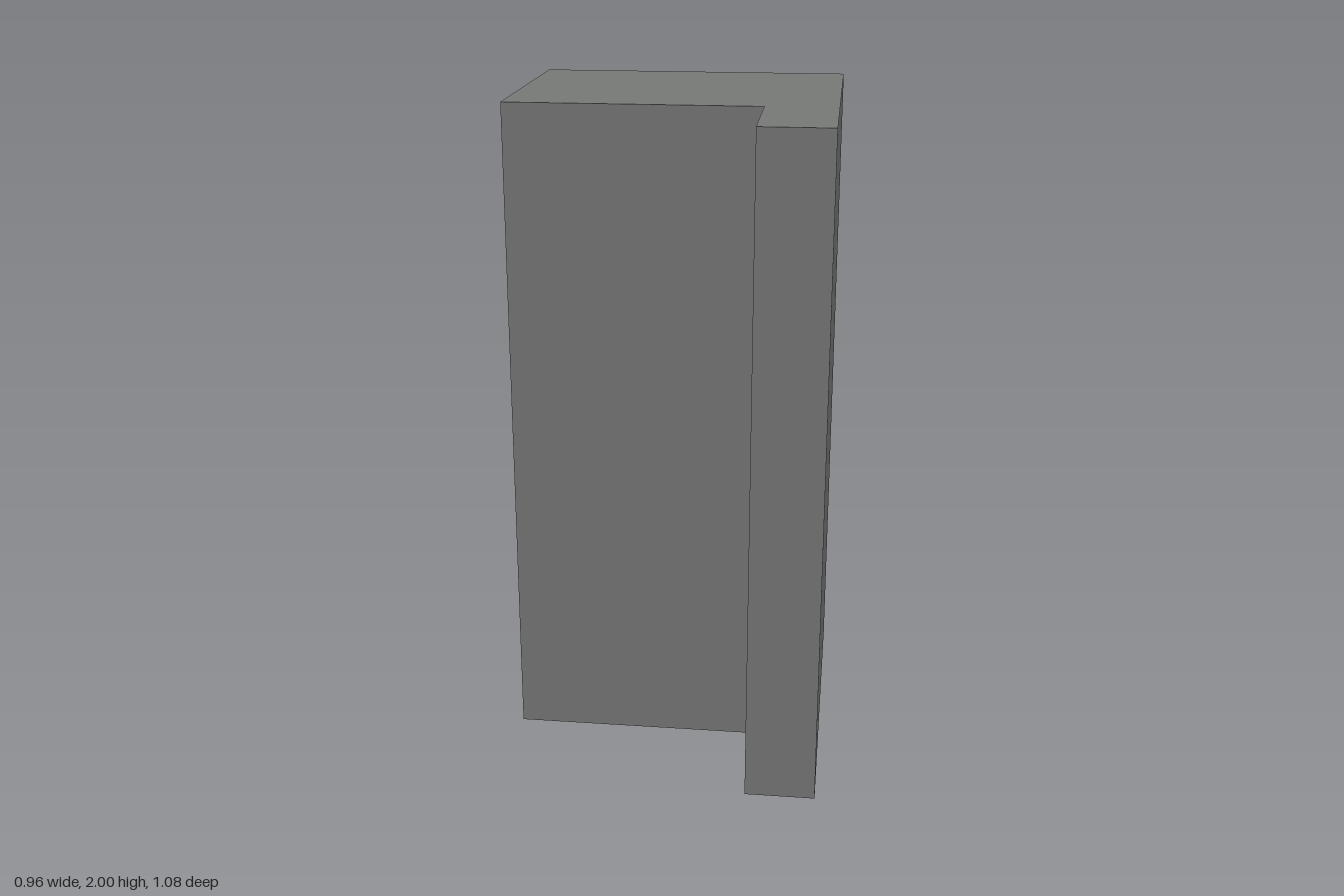
import * as THREE from 'three';

export function createModel() {
  const group = new THREE.Group();
  const material = new THREE.MeshStandardMaterial({ color: 0x757775, flatShading: true });

  // L-shaped footprint as [x, z], extruded straight up
  const footprint = [
    [-0.48, 0.19], [0.27, 0.19], [0.27, 0.54],
    [0.48, 0.54], [0.48, -0.54], [-0.48, -0.54],
  ];
  const shape = new THREE.Shape(footprint.map(([x, z]) => new THREE.Vector2(x, -z)));
  const geometry = new THREE.ExtrudeGeometry(shape, { depth: 2, bevelEnabled: false });
  geometry.rotateX(-Math.PI / 2);

  const block = new THREE.Mesh(geometry, material);
  block.name = 'lShapedBlock';
  group.add(block);
  return group;
}
